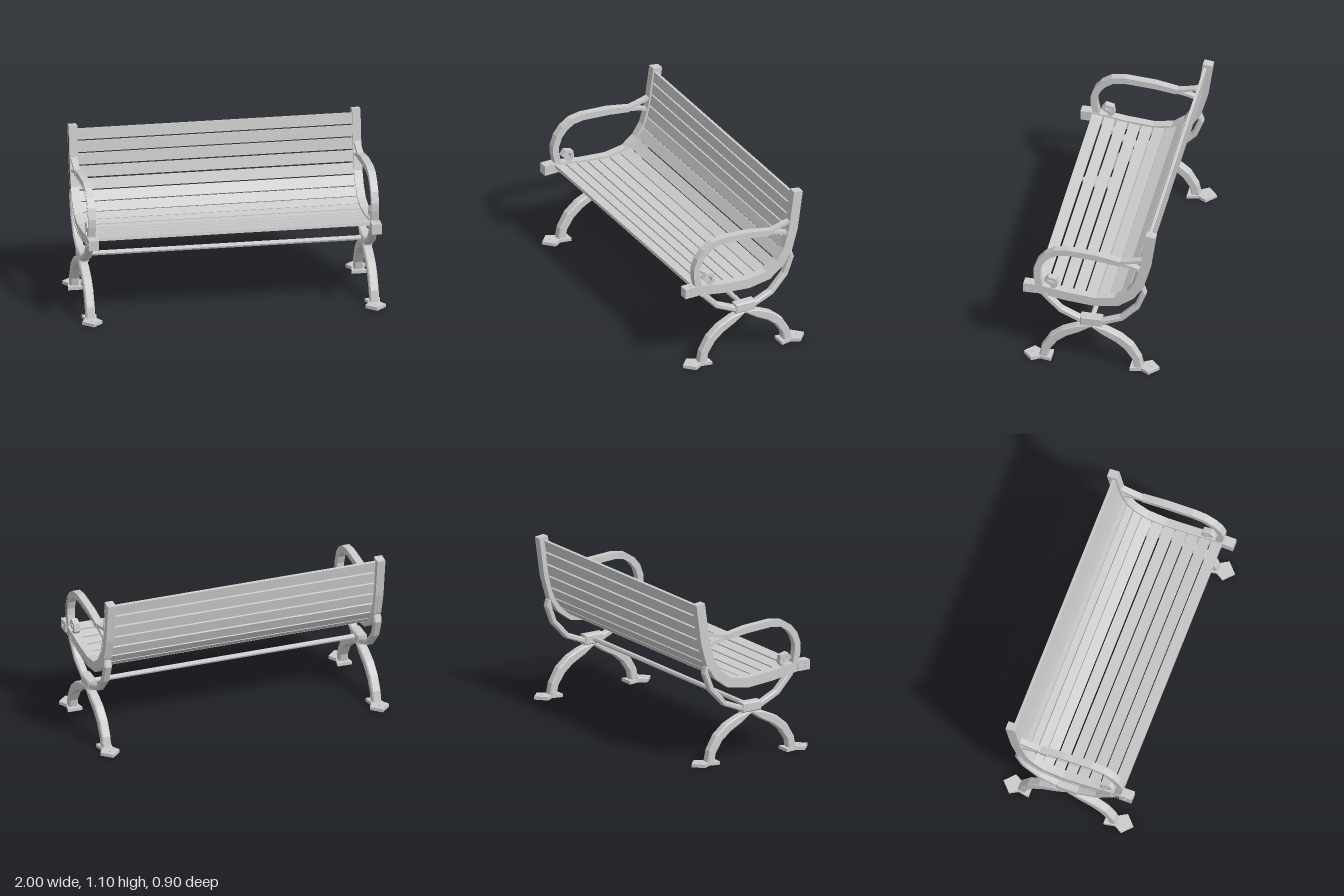
import * as THREE from 'three';

const material = new THREE.MeshStandardMaterial({ color: 0xcccccc, flatShading: true });

// Outline of a band following [z, y, width?] points, with mitred corners
function band(points, width) {
  const p = points.map(([z, y]) => new THREE.Vector2(z, y));
  const left = [], right = [];
  p.forEach((c, i) => {
    const a = p[Math.max(i - 1, 0)], b = p[Math.min(i + 1, p.length - 1)];
    const d0 = (i ? c.clone().sub(a) : b.clone().sub(c)).normalize();
    const d1 = (i < p.length - 1 ? b.clone().sub(c) : d0.clone()).normalize();
    const t = d0.clone().add(d1).normalize();
    const h = (points[i][2] ?? width) / 2 / Math.max(t.dot(d0), 0.6);
    left.push(new THREE.Vector2(c.x - t.y * h, c.y + t.x * h));
    right.unshift(new THREE.Vector2(c.x + t.y * h, c.y - t.x * h));
  });
  return [...left, ...right];
}

const rect = (z0, z1, y0, y1) =>
  [[z0, y0], [z1, y0], [z1, y1], [z0, y1]].map(([z, y]) => new THREE.Vector2(z, y));

// Extrude a (z, y) outline across x0..x1, mirrored when side is -1
function slab(parent, name, outline, side, x0, x1, { hole, bevel = 0 } = {}) {
  const shape = new THREE.Shape(outline);
  if (hole) shape.holes.push(new THREE.Path(hole));
  const geo = new THREE.ExtrudeGeometry(shape, {
    depth: x1 - x0 - 2 * bevel, bevelEnabled: bevel > 0, bevelThickness: bevel,
    bevelSize: bevel, bevelOffset: -bevel, bevelSegments: 1,
  });
  geo.translate(0, 0, bevel);
  geo.rotateY(-Math.PI / 2);
  geo.translate(side > 0 ? x1 : -x0, 0, 0);
  return add(parent, name, geo);
}

function add(parent, name, geo) {
  const mesh = new THREE.Mesh(geo, material);
  mesh.name = name;
  parent.add(mesh);
  return mesh;
}

// Slab with a shallow recess in its outer face
function recessed(parent, name, outline, hole, side, x0, x1) {
  slab(parent, name, outline, side, x0, x1 - 0.008);
  slab(parent, name + 'Rim', outline, side, x1 - 0.008, x1, { hole });
}

// Centre line of the seat and back, front to top
const rail = [[0.4, 0.565], [0.36, 0.561], [0.16, 0.528], [-0.03, 0.511], [-0.17, 0.534],
  [-0.258, 0.6], [-0.317, 0.69], [-0.357, 0.83], [-0.395, 1.097]];

const arm = [[0.345, 0.585], [0.36, 0.665], [0.36, 0.715], [0.337, 0.78], [0.297, 0.83],
  [0.237, 0.869], [0.16, 0.881], [-0.04, 0.867], [-0.19, 0.842, 0.036]];

const flip = pts => pts.map(([z, y, w]) => [-z, y, w]);

const leg = [[0.316, 0.015, 0.056], [0.302, 0.085, 0.056], [0.25, 0.17, 0.062],
  [0.18, 0.228, 0.062], [0.09, 0.272, 0.056], [0, 0.312, 0.02]];

const frontBrace = [[0.315, 0.525], [0.205, 0.407], [0.06, 0.338]];
const backBrace = [[-0.34, 0.665, 0.02], [-0.347, 0.62], [-0.303, 0.505], [-0.2, 0.395], [-0.06, 0.338]];

const scroll = [[0.265, 0.57], [0.234, 0.602], [0.24, 0.642], [0.282, 0.653],
  [0.299, 0.63], [0.273, 0.609], [0.256, 0.619]];

// Arrow-shaped foot plate, hollow underneath, with a bolt on top
function foot(parent, side, end) {
  const group = new THREE.Group();
  group.name = end > 0 ? 'frontFoot' : 'backFoot';
  const half = [[0, 0.45], [0.067, 0.388], [0.036, 0.335], [0.05, 0.26]];
  const outline = [...half, ...half.slice(1).reverse().map(([x, z]) => [-x, z])]
    .map(([x, z]) => new THREE.Vector2(x, z * end));
  const hole = [[0, 0.425], [0.035, 0.387], [0.02, 0.335], [-0.02, 0.335], [-0.035, 0.387]]
    .map(([x, z]) => new THREE.Vector2(x, z * end));
  for (const [y0, y1, open] of [[0.012, 0.022, false], [0, 0.012, true]]) {
    const shape = new THREE.Shape(outline);
    if (open) shape.holes.push(new THREE.Path(hole));
    const geo = new THREE.ExtrudeGeometry(shape, { depth: y1 - y0, bevelEnabled: false });
    geo.rotateX(Math.PI / 2);
    geo.translate(side * 0.933, y1, 0);
    add(group, open ? 'footRim' : 'footPlate', geo);
  }
  const bolt = new THREE.CylinderGeometry(0.008, 0.008, 0.006, 8);
  bolt.translate(side * 0.933, 0.023, end * 0.395);
  add(group, 'footBolt', bolt);
  parent.add(group);
}

function endFrame(side) {
  const g = new THREE.Group();
  g.name = side > 0 ? 'leftEndFrame' : 'rightEndFrame';

  // Seat and back rail
  const inset = [...rail.slice(1, -1), [-0.386, 1.03]];
  recessed(g, 'rail', band(rail, 0.066), band(inset, 0.044), side, 0.905, 0.96);

  // Front end block with a four-pointed star recess
  const star = Array.from({ length: 8 }, (_, i) => {
    const a = i * Math.PI / 4, r = i % 2 ? 0.008 : 0.02;
    return new THREE.Vector2(0.41 + r * Math.cos(a), 0.562 + r * Math.sin(a));
  });
  recessed(g, 'endBlock', rect(0.362, 0.448, 0.528, 0.596), star, side, 0.9, 0.964);

  // Armrest with forked rear end
  const armInset = [[0.358, 0.655], ...arm.slice(2, -1), [-0.15, 0.849]];
  recessed(g, 'armrest', band(arm, 0.044), band(armInset, 0.025), side, 0.908, 0.957);
  slab(g, 'upperFork', band([[-0.18, 0.846], [-0.25, 0.86], [-0.345, 0.885]], 0.02), side, 0.912, 0.953);
  slab(g, 'lowerFork', band([[-0.18, 0.84], [-0.26, 0.824], [-0.335, 0.799]], 0.02), side, 0.912, 0.953);
  slab(g, 'scroll', band(scroll, 0.021), side, 0.912, 0.953);

  // Curved supports meeting at the hub
  slab(g, 'frontBrace', band(frontBrace, 0.04), side, 0.908, 0.96, { bevel: 0.009 });
  slab(g, 'backBrace', band(backBrace, 0.036), side, 0.908, 0.96, { bevel: 0.008 });
  slab(g, 'hub', rect(-0.072, 0.072, 0.313, 0.38), side, 0.9, 0.968, { bevel: 0.008 });
  slab(g, 'frontLeg', band(leg, 0.056), side, 0.905, 0.965, { bevel: 0.008 });
  slab(g, 'backLeg', band(flip(leg), 0.056), side, 0.905, 0.965, { bevel: 0.008 });
  foot(g, side, 1);
  foot(g, side, -1);
  return g;
}

export function createModel() {
  const model = new THREE.Group();
  model.name = 'bench';
  for (const side of [1, -1]) model.add(endFrame(side));

  // Slats spaced evenly along the seat and back curve
  const path = new THREE.CatmullRomCurve3(
    [[0.338, 0.558], ...rail.slice(2, -1), [-0.386, 1.035]].map(([z, y]) => new THREE.Vector3(0, y, z)));
  const slats = new THREE.Group();
  slats.name = 'slats';
  const count = 14;
  for (let i = 0; i < count; i++) {
    const u = i / (count - 1), p = path.getPointAt(u), t = path.getTangentAt(u);
    const slat = add(slats, 'slat', new THREE.BoxGeometry(1.82, 0.02, 0.072));
    slat.rotation.x = Math.atan2(t.y, -t.z);
    slat.position.set(0, p.y - t.z * 0.012, p.z + t.y * 0.012);
  }
  model.add(slats);

  // Stretcher rod between the hubs
  const rod = new THREE.CylinderGeometry(0.017, 0.017, 1.82, 8);
  rod.rotateZ(Math.PI / 2);
  rod.translate(0, 0.346, 0);
  add(model, 'stretcher', rod);
  return model;
}
